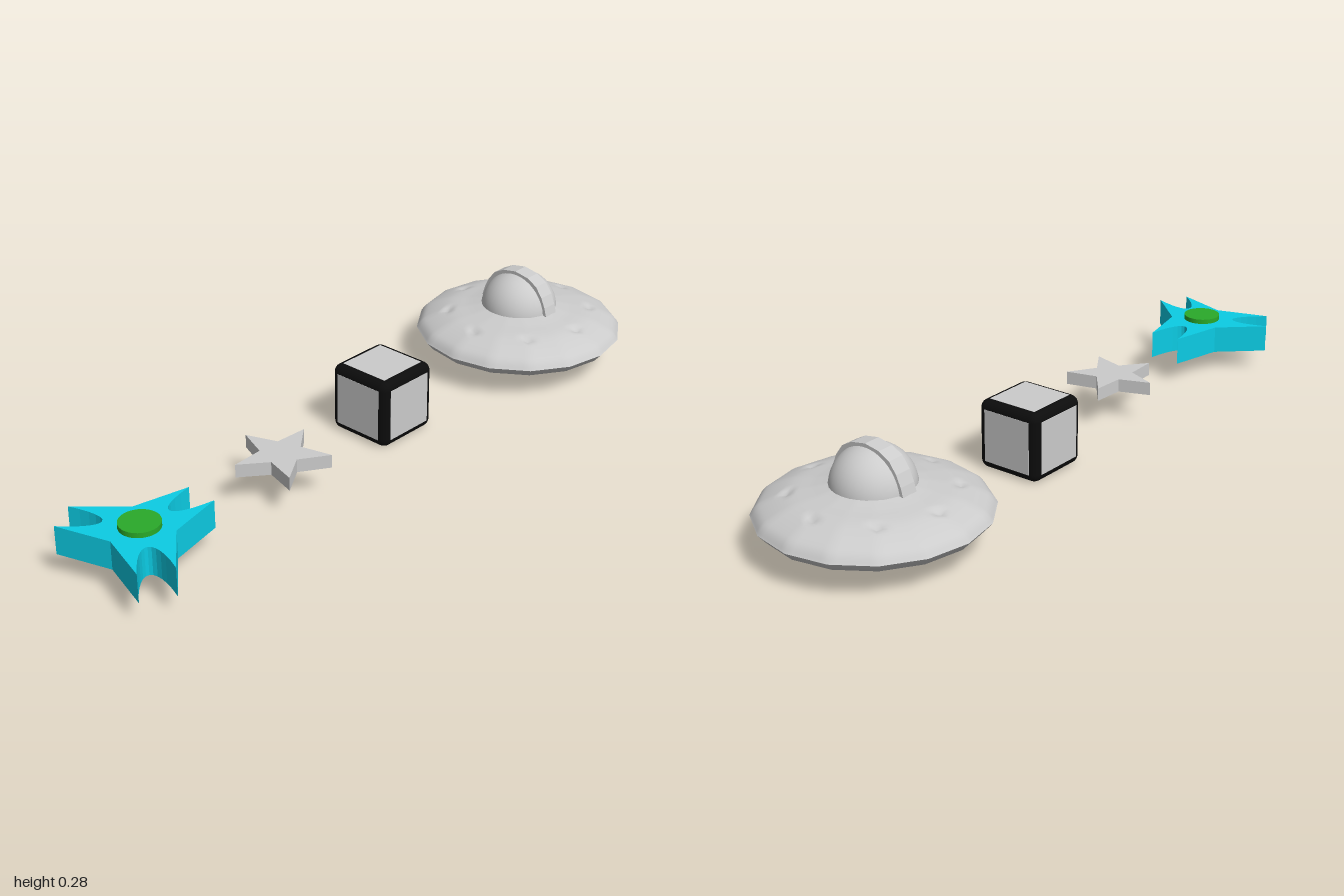
import * as THREE from 'three';
import { RoundedBoxGeometry } from 'three/addons/geometries/RoundedBoxGeometry.js';
import { mergeVertices } from 'three/addons/utils/BufferGeometryUtils.js';

const grey = new THREE.MeshStandardMaterial({ color: 0xcccccc });
const black = new THREE.MeshStandardMaterial({ color: 0x0c0c0c });
const cyan = new THREE.MeshStandardMaterial({ color: 0x0ccce4 });
const green = new THREE.MeshStandardMaterial({ color: 0x2aaa2a });

function add(parent, name, geometry, material, x = 0, y = 0, z = 0) {
  const mesh = new THREE.Mesh(geometry, material);
  mesh.name = name;
  mesh.position.set(x, y, z);
  parent.add(mesh);
  return mesh;
}

function subgroup(parent, name, x, z) {
  const g = new THREE.Group();
  g.name = name;
  g.position.set(x, 0, z);
  parent.add(g);
  return g;
}

const vectors = (list) => list.map(([x, y]) => new THREE.Vector2(x, y));

// Flat outline lying in the ground plane, extruded upwards
function slab(shape, height) {
  const g = new THREE.ExtrudeGeometry(shape, { depth: height, bevelEnabled: false, curveSegments: 12 });
  return g.rotateX(-Math.PI / 2);
}

// Upper hull: 16-sided outline with a ring of eight small dimples
function upperHullGeometry() {
  const curve = new THREE.SplineCurve(vectors(
    [[0.305, 0.1], [0.281, 0.127], [0.217, 0.155], [0.15, 0.167], [0.115, 0.174], [0.09, 0.18]]));
  let g = new THREE.LatheGeometry(curve.getPoints(44), 96);
  g.deleteAttribute('uv');
  g.deleteAttribute('normal');
  g = mergeVertices(g, 1e-5);
  const p = g.attributes.position;
  const step = Math.PI / 8;
  for (let i = 0; i < p.count; i++) {
    const x = p.getX(i), z = p.getZ(i);
    const a = Math.atan2(x, z) + 2 * Math.PI;
    const k = Math.cos(step / 2) / Math.cos((a % step) - step / 2);
    let drop = 0;
    for (let n = 0; n < 8; n++) {
      const t = n * Math.PI / 4;
      const d = Math.hypot(x - 0.213 * Math.sin(t), z - 0.213 * Math.cos(t));
      drop = Math.max(drop, 0.011 * (1 - d / 0.022));
    }
    p.setXYZ(i, x * k, p.getY(i) - drop, z * k);
  }
  g.computeVertexNormals();
  return g;
}

function buildSaucer(root) {
  const saucer = subgroup(root, 'saucer', 0, -0.695);
  add(saucer, 'upperHull', upperHullGeometry(), grey);
  const lower = vectors([[0, 0.028], [0.1, 0.031], [0.215, 0.046], [0.284, 0.076], [0.305, 0.1]]);
  add(saucer, 'lowerHull', new THREE.LatheGeometry(lower, 16), grey);
  add(saucer, 'dome', new THREE.SphereGeometry(0.112, 32, 12, 0, 2 * Math.PI, 0, Math.PI / 2), grey, 0, 0.163, 0);

  // Raised band running across the dome from side to side
  const half = [[0.122, 0.165], [0.113, 0.197], [0.1, 0.227], [0.078, 0.257], [0.045, 0.275]];
  const mirrored = half.map(([x, y]) => [-x, y]).reverse();
  const arch = new THREE.Shape(vectors([...half, [0, 0.283], ...mirrored]));
  const band = new THREE.ExtrudeGeometry(arch, { depth: 0.048, bevelEnabled: false });
  add(saucer, 'domeBand', band, grey, 0, 0, -0.024);
}

function buildCube(root) {
  const cube = subgroup(root, 'framedCube', -0.004, -0.088);
  add(cube, 'cubeFrame', new RoundedBoxGeometry(0.2, 0.2, 0.2, 4, 0.025), black, 0, 0.1, 0);
  // Each box supplies the two opposite face panels of one axis
  for (let axis = 0; axis < 3; axis++) {
    const size = [0.152, 0.152, 0.152];
    size[axis] = 0.201;
    add(cube, 'facePanels', new THREE.BoxGeometry(...size), grey, 0, 0.1, 0);
  }
}

function buildStar(root) {
  const points = [];
  for (let i = 0; i < 10; i++) {
    const a = Math.PI + i * Math.PI / 5;
    const r = i % 2 ? 0.057 : 0.133;
    points.push([r * Math.cos(a), r * Math.sin(a)]);
  }
  add(root, 'star', slab(new THREE.Shape(vectors(points)), 0.038), grey, 0.04, 0.083, 0.353);
}

function buildSpinner(root) {
  const spinner = subgroup(root, 'spinner', 0.0625, 0.855);
  // Three forked arms, each with a curved notch between two tips
  const shape = new THREE.Shape();
  for (let i = 0; i < 3; i++) {
    const turn = (x, y) => {
      const v = new THREE.Vector2(x, y).rotateAround(new THREE.Vector2(), -i * 2 * Math.PI / 3);
      return [v.x, v.y];
    };
    const shoulder = turn(-0.08, 0.046);
    if (i) shape.lineTo(...shoulder);
    else shape.moveTo(...shoulder);
    shape.lineTo(...turn(-0.046, 0.201));
    shape.bezierCurveTo(...turn(-0.025, 0.06), ...turn(0.025, 0.06), ...turn(0.046, 0.201));
  }
  shape.closePath();
  add(spinner, 'spinnerBody', slab(shape, 0.08), cyan, 0, 0.06, 0);
  add(spinner, 'spinnerHub', new THREE.CylinderGeometry(0.054, 0.054, 0.106, 32), green, 0, 0.101, 0);
}

export function createModel() {
  const root = new THREE.Group();
  root.name = 'toySet';
  buildSaucer(root);
  buildCube(root);
  buildStar(root);
  buildSpinner(root);
  return root;
}
